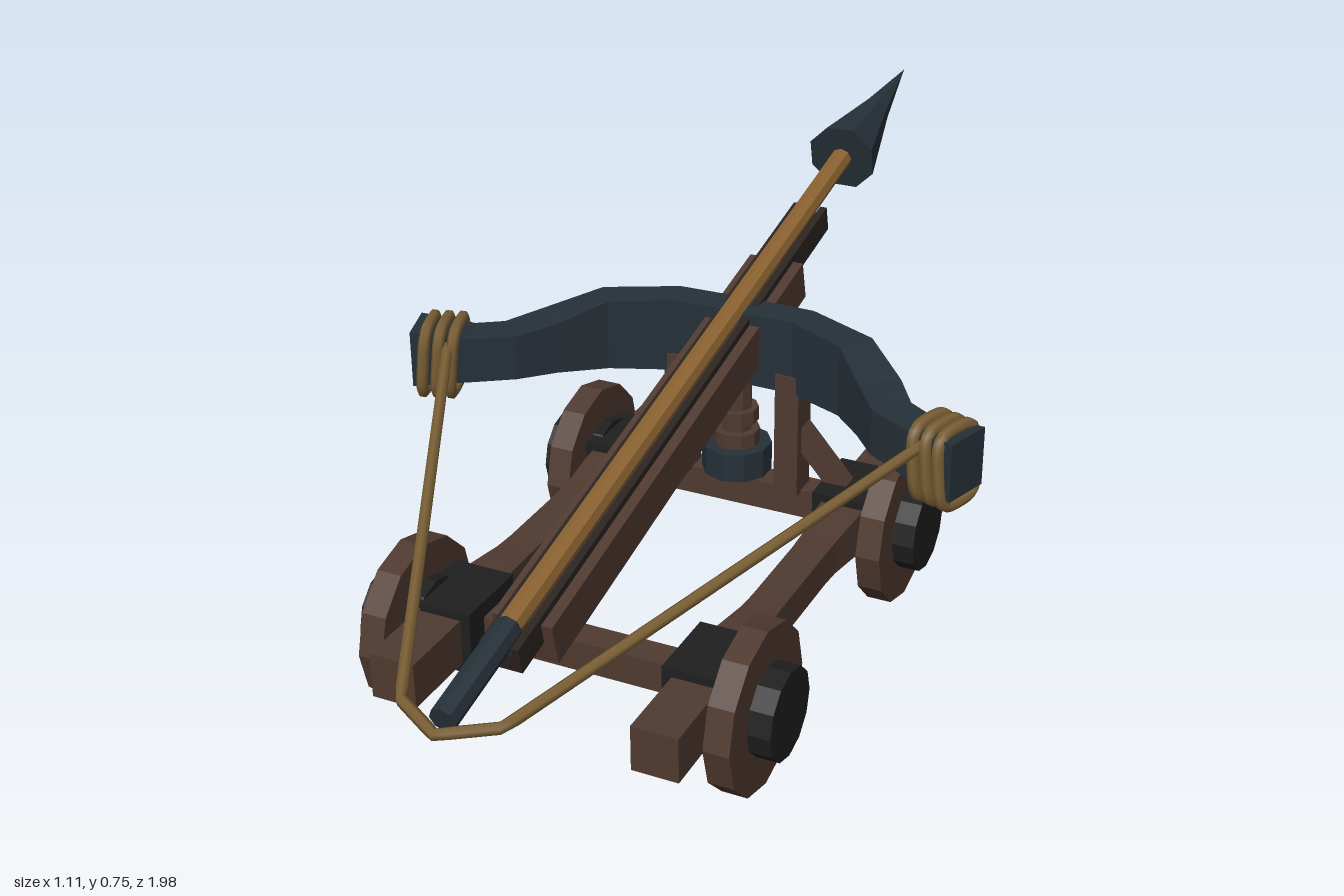
import * as THREE from 'three';

const mat = (color, smooth) => new THREE.MeshStandardMaterial({ color, flatShading: !smooth });
const wood = mat(0x4f3a30), darkWood = mat(0x2b2320), black = mat(0x1f1f1f);
const iron = mat(0x263038), ash = mat(0x8a6230), rope = mat(0x7a5f35, true);

function add(parent, name, geo, material, x = 0, y = 0, z = 0) {
  const m = new THREE.Mesh(geo, material);
  m.name = name;
  m.position.set(x, y, z);
  parent.add(m);
  return m;
}
const box = (w, h, d) => new THREE.BoxGeometry(w, h, d);
const cyl = (r, h, n, r2 = r) => new THREE.CylinderGeometry(r, r2, h, n);

// Side rail that is slimmer between the axles
function railGeometry() {
  const g = new THREE.BoxGeometry(0.085, 0.085, 1.09, 1, 1, 24);
  const p = g.attributes.position;
  for (let i = 0; i < p.count; i++) {
    const t = THREE.MathUtils.smoothstep(Math.abs(p.getZ(i)), 0.1, 0.26);
    const s = 0.76 + 0.24 * t;
    p.setXY(i, p.getX(i) * s, p.getY(i) * s);
  }
  g.computeVertexNormals();
  return g;
}

// Bow swept from rectangular sections: x, z, bottom y, top y, half thickness
function bowGeometry() {
  const half = [
    [0, -0.128, 0.4, 0.545, 0.034], [0.13, -0.125, 0.4, 0.545, 0.034], [0.255, -0.072, 0.402, 0.54, 0.036],
    [0.333, 0.01, 0.413, 0.513, 0.04], [0.38, 0.075, 0.418, 0.505, 0.038],
    [0.44, 0.11, 0.415, 0.504, 0.036], [0.543, 0.143, 0.405, 0.515, 0.046],
  ];
  const secs = [...half.slice(1).reverse().map(([x, ...r]) => [-x, ...r]), ...half];
  const pos = [], idx = [];
  secs.forEach(([x, z, lo, hi, w], i) => {
    const a = secs[Math.max(i - 1, 0)], b = secs[Math.min(i + 1, secs.length - 1)];
    const len = Math.hypot(b[0] - a[0], b[1] - a[1]);
    const nx = -(b[1] - a[1]) / len * w, nz = (b[0] - a[0]) / len * w;
    pos.push(x + nx, lo, z + nz, x + nx, hi, z + nz, x - nx, hi, z - nz, x - nx, lo, z - nz);
    if (i) for (let k = 0; k < 4; k++) {
      const p = (i - 1) * 4 + k, q = (i - 1) * 4 + (k + 1) % 4;
      idx.push(p, p + 4, q, q, p + 4, q + 4);
    }
  });
  const e = (secs.length - 1) * 4;
  idx.push(0, 1, 2, 0, 2, 3, e, e + 2, e + 1, e, e + 3, e + 2);
  const g = new THREE.BufferGeometry();
  g.setAttribute('position', new THREE.Float32BufferAttribute(pos, 3));
  g.setIndex(idx);
  g.computeVertexNormals();
  return g;
}

// Closed oblong rope loop in the local YZ plane
function loopGeometry() {
  const pts = [];
  for (let i = 0; i < 12; i++) {
    const a = i / 12 * Math.PI * 2, c = Math.cos(a), s = Math.sin(a);
    pts.push(new THREE.Vector3(0, Math.sign(s) * Math.sqrt(Math.abs(s)) * 0.068,
      Math.sign(c) * Math.sqrt(Math.abs(c)) * 0.052));
  }
  return new THREE.TubeGeometry(new THREE.CatmullRomCurve3(pts, true), 36, 0.0115, 6, true);
}

export function createModel() {
  const root = new THREE.Group();
  root.name = 'siegeBallista';

  // Chassis
  const chassis = new THREE.Group();
  chassis.name = 'chassis';
  root.add(chassis);
  const axles = [0.53, -0.135];
  for (const z of axles) add(chassis, 'axleBeam', box(0.44, 0.058, 0.056), wood, 0, 0.161, z - 0.02 * (z > 0));
  for (const s of [-1, 1]) {
    add(chassis, 'sideRail', railGeometry(), wood, s * 0.243, 0.162, 0.19);
    for (const z of axles) {
      add(chassis, 'axleBlock', box(0.118, 0.12, 0.15), black, s * 0.241, 0.16, z - 0.02 * (z > 0));
      const w = add(chassis, 'wheel', cyl(0.15, 0.047, 12), wood, s * 0.324, 0.15, z);
      const h = add(chassis, 'hub', cyl(0.082, 0.11, 12), black, s * 0.334, 0.152, z);
      w.rotation.z = h.rotation.z = Math.PI / 2;
    }
    add(chassis, 'post', box(0.048, 0.25, 0.062), wood, s * 0.115, 0.31, -0.118);
  }
  const brace = add(chassis, 'brace', box(0.035, 0.18, 0.04), wood, 0.178, 0.255, -0.125);
  brace.rotation.z = 0.72;

  // Swivel under the stock
  const swivel = new THREE.Group();
  swivel.name = 'swivel';
  swivel.position.z = -0.118;
  root.add(swivel);
  add(swivel, 'column', cyl(0.03, 0.28, 8), wood, 0, 0.325, 0);
  add(swivel, 'baseRing', cyl(0.068, 0.058, 10), iron, 0, 0.235, 0);
  add(swivel, 'lowerCollar', cyl(0.045, 0.03, 10), wood, 0, 0.278, 0);
  add(swivel, 'upperCollar', cyl(0.042, 0.028, 10), wood, 0, 0.325, 0);

  // Tilted stock with its bolt
  const stock = new THREE.Group();
  stock.name = 'stock';
  stock.position.y = 0.522;
  stock.rotation.x = 0.228;
  root.add(stock);
  add(stock, 'stockBeam', box(0.11, 0.078, 1.043), wood, 0, -0.059, 0.218);
  add(stock, 'slideBase', box(0.07, 0.034, 1.29), darkWood, 0, -0.04, 0.167);
  for (const s of [-1, 1]) add(stock, 'slideEdge', box(0.014, 0.05, 1.29), darkWood, s * 0.028, -0.032, 0.167);
  const shaft = add(stock, 'boltShaft', cyl(0.021, 1.5, 8), ash, 0, 0, 0.1);
  const nock = add(stock, 'boltNock', cyl(0.024, 0.21, 8), iron, 0, 0, 0.88);
  shaft.rotation.x = nock.rotation.x = Math.PI / 2;
  const profile = [[0, 0], [0.072, 0], [0.063, 0.04], [0.03, 0.19], [0, 0.366]].map(p => new THREE.Vector2(...p));
  const head = add(stock, 'boltHead', new THREE.LatheGeometry(profile, 8, Math.PI / 8), iron, 0, 0, -0.648);
  head.rotation.x = -Math.PI / 2;

  // Bow, rope bindings and drawn string
  add(root, 'bow', bowGeometry(), iron);
  const loop = loopGeometry();
  for (const s of [-1, 1]) {
    const binding = new THREE.Group();
    binding.name = 'ropeBinding';
    binding.position.set(s * 0.497, 0.452, 0.126);
    binding.rotation.y = -s * 0.32;
    root.add(binding);
    for (const k of [-1, 0, 1]) add(binding, 'ropeLoop', loop, rope, k * 0.027, 0, 0).rotation.z = s * 0.1;
  }
  const path = new THREE.CurvePath();
  const pts = [[-0.47, 0.49, 0.15], [-0.09, 0.297, 0.935], [0, 0.29, 0.985], [0.09, 0.297, 0.935], [0.47, 0.49, 0.15]]
    .map(p => new THREE.Vector3(...p));
  for (let i = 1; i < pts.length; i++) path.add(new THREE.LineCurve3(pts[i - 1], pts[i]));
  add(root, 'bowString', new THREE.TubeGeometry(path, 80, 0.0105, 6), rope);

  return root;
}
